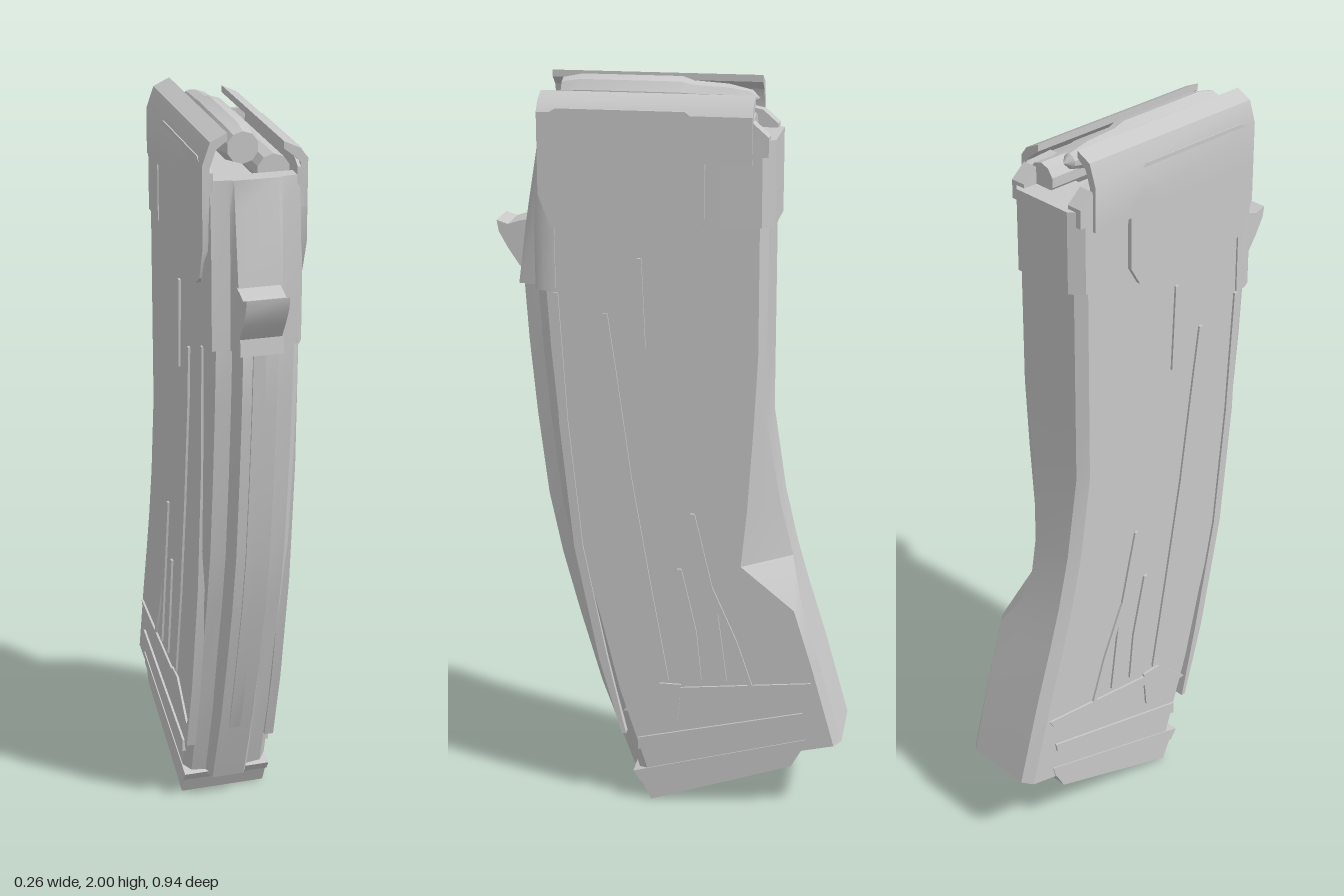
import * as THREE from 'three';
import { toCreasedNormals } from 'three/addons/utils/BufferGeometryUtils.js';

export function createModel() {
  const group = new THREE.Group();
  const steel = new THREE.MeshStandardMaterial({ color: 0xc8c8c8 });
  steel.name = 'grey steel';

  function add(name, geo, parent = group) {
    const mesh = new THREE.Mesh(toCreasedNormals(geo, 0.5), steel);
    mesh.name = name;
    parent.add(mesh);
    return mesh;
  }

  // Skin a stack of equal-sized loops, ordered bottom to top, each anticlockwise from above
  function loft(loops) {
    const n = loops[0].length, last = (loops.length - 1) * n, index = [];
    for (let j = 0; j < loops.length - 1; j++) {
      for (let i = 0; i < n; i++) {
        const a = j * n + i, b = j * n + (i + 1) % n;
        index.push(a, b, b + n, a, b + n, a + n);
      }
    }
    // Caps as strips between the two mirrored halves
    for (let i = 0; i < n / 2 - 1; i++) {
      const a = i, b = i + 1, c = n - 2 - i, d = n - 1 - i;
      index.push(a, c, b, a, d, c);
      index.push(last + a, last + b, last + c, last + a, last + c, last + d);
    }
    const geo = new THREE.BufferGeometry();
    geo.setAttribute('position', new THREE.Float32BufferAttribute(loops.flat(2), 3));
    geo.setIndex(index);
    return geo;
  }

  // Prism with a side outline of [z, y] points between two x positions
  function sidePrism(points, x0, x1) {
    const shape = new THREE.Shape(points.map(p => new THREE.Vector2(...p)));
    return new THREE.ExtrudeGeometry(shape, { depth: x1 - x0, bevelEnabled: false })
      .rotateY(-Math.PI / 2).translate(x1, 0, 0);
  }

  // Loop with a raised band down the front; the left rear corner may be cut deeper
  function section([zf, yf, zb, yb, step, cut, cutX]) {
    const len = Math.hypot(zf - zb, yf - yb);
    const at = (x, d) => [x, yf + (yb - yf) * d / len, zf + (zb - zf) * d / len];
    const half = (s, c, wb) => [[0.045, 0], [0.06, step], [0.1, step + 0.005], [0.119, step + 0.03],
      [0.119, len - c], [wb, len]].map(([x, d]) => at(s * x, d));
    return [...half(1, cut, cutX), ...half(-1, 0.025, 0.095).reverse()];
  }

  // Curved body: front z, front y, back z, back y, band step, left rear cut depth, cut edge x
  add('body', loft([
    [0.115, 0.07, -0.47, 0.21, 0.025, 0.02, 0.095],
    [0.205, 0.32, -0.405, 0.44, 0.035, 0.02, 0.10],
    [0.265, 0.53, -0.355, 0.60, 0.045, 0.02, 0.10],
    [0.31, 0.70, -0.32, 0.72, 0.045, 0.13, 0.02],
    [0.345, 0.87, -0.285, 0.87, 0.045, 0.08, 0.03],
    [0.372, 1.10, -0.25, 1.10, 0.045, 0.03, 0.07],
    [0.39, 1.30, -0.25, 1.30, 0.045, 0.02, 0.09],
    [0.40, 1.46, -0.25, 1.46, 0.045, 0.02, 0.09],
    [0.36, 1.64, -0.25, 1.64, 0.02, 0.02, 0.09],
    [0.335, 1.83, -0.25, 1.83, 0.01, 0.02, 0.09],
  ].map(section)));

  // Raised strip following a [z, y] path
  function strip(path, x0, x1, hw) {
    return loft(path.map(([z, y], i) => {
      const h = i === 0 || i === path.length - 1 ? hw * 0.5 : hw;
      return [[x1, y, z + h], [x1, y, z - h], [x0, y, z - h], [x0, y, z + h]];
    }));
  }

  // Long and short stiffening ribs on both sides
  const ribs = [
    [[0.13, 0.20], [0.185, 0.42], [0.25, 0.75], [0.285, 1.1], [0.30, 1.45]],
    [[0.01, 0.37], [0.065, 0.65], [0.115, 0.95], [0.155, 1.25], [0.17, 1.40]],
    [[-0.15, 0.38], [-0.115, 0.60], [-0.06, 0.86]],
    [[-0.08, 0.38], [-0.06, 0.52], [-0.025, 0.70]],
    [[-0.22, 0.37], [-0.17, 0.50], [-0.11, 0.65]],
    [[0.07, 1.31], [0.08, 1.55]],
  ];
  const bands = [
    [[-0.02, 0.32], [-0.37, 0.365], [-0.385, 0.39], [-0.02, 0.35]],
    [[0.09, 0.155], [-0.36, 0.275], [-0.365, 0.30], [0.09, 0.19]],
    [[0.13, 0.27], [-0.02, 0.25], [-0.03, 0.36], [0.03, 0.36]],
  ];
  // Reinforcing plate at the top of each side
  const plate = [[0.34, 1.71], [0.31, 1.63], [0.28, 1.61], [-0.06, 1.61],
    [-0.09, 1.66], [-0.09, 1.89], [-0.04, 1.93], [0.29, 1.93], [0.34, 1.90]];
  for (const s of [-1, 1]) {
    const side = new THREE.Group();
    side.name = s > 0 ? 'leftSide' : 'rightSide';
    group.add(side);
    const range = (a, b) => (s > 0 ? [a, b] : [-b, -a]);
    ribs.forEach(p => add('rib', strip(p, ...range(0.10, 0.125), 0.012), side));
    bands.forEach(p => add('lowerBand', sidePrism(p, ...range(0.10, 0.125)), side));
    add('sidePlate', sidePrism(plate, ...range(0.105, 0.131)), side);

    // Curled feed lip, higher on the right
    const top = s > 0 ? 1.965 : 1.995;
    const outline = [[0.131, 1.80], [0.131, 1.92], [0.112, top - 0.02], [0.07, top],
      [0.07, top - 0.018], [0.098, top - 0.04], [0.113, 1.91], [0.113, 1.80]];
    const lip = new THREE.Shape(outline.map(([x, y]) => new THREE.Vector2(x * s, y)));
    add('feedLip', new THREE.ExtrudeGeometry(lip, { depth: 0.55, bevelEnabled: false })
      .translate(0, 0, -0.21), side);

    // Rear corner post rising above the collar
    add('rearCorner', sidePrism([[-0.14, 1.82], [-0.25, 1.82], [-0.25, 1.87], [-0.21, 1.905],
      [-0.14, 1.92]], ...range(0.078, 0.122)), side);
  }

  // Thin ridge down the front band
  add('frontRidge', loft([[0.085, 0.07], [0.205, 0.32], [0.265, 0.53], [0.31, 0.70], [0.345, 0.87],
    [0.372, 1.10], [0.39, 1.30], [0.40, 1.46]].map(([z, y]) =>
    [[0.012, y, z + 0.006], [0.012, y, z - 0.03], [-0.02, y, z - 0.03], [-0.02, y, z + 0.006]])));

  // Front collar: y, centre z, cheek z
  add('frontCollar', loft([[1.455, 0.412, 0.36], [1.62, 0.39, 0.36], [1.80, 0.36, 0.35], [1.88, 0.348, 0.342]]
    .map(([y, zc, zs]) => {
      const half = [[0.055, zc], [0.066, zs], [0.112, zs - 0.005], [0.124, zs - 0.03], [0.124, 0.30]];
      return [...half.map(([x, z]) => [x, y, z]), ...half.slice().reverse().map(([x, z]) => [-x, y, z])];
    })));
  add('lockingLug', sidePrism([[0.36, 1.63], [0.36, 1.50], [0.41, 1.50], [0.44, 1.545],
    [0.465, 1.59], [0.47, 1.62], [0.44, 1.61], [0.41, 1.62]], -0.058, 0.05));

  // Rear collar
  const collar = y => [[0.124, y, -0.13], [0.122, y, -0.235], [0.09, y, -0.265],
    [-0.09, y, -0.265], [-0.122, y, -0.235], [-0.124, y, -0.13]];
  add('rearCollar', loft([1.64, 1.86].map(y => collar(y).reverse().map(([x, ...r]) => [-x, ...r]).reverse().map(([x, ...r]) => [-x, ...r]))));

  // Top round with a tapered nose, lying between the lips
  const round = new THREE.LatheGeometry([[0, -0.25], [0.04, -0.25], [0.05, -0.20], [0.05, 0.06],
    [0.04, 0.09], [0.034, 0.18], [0.02, 0.24], [0, 0.26]].map(p => new THREE.Vector2(...p)), 10);
  add('topRound', round.rotateX(-Math.PI / 2).translate(-0.02, 1.945, 0.05));
  // Lower round beside it
  const lower = new THREE.CylinderGeometry(0.042, 0.042, 0.50, 10);
  add('lowerRound', lower.rotateX(Math.PI / 2).translate(0.06, 1.88, 0.04));

  // Floor plate, stepped in two layers
  add('floorPlateUpper', sidePrism([[0.105, 0.085], [0.085, 0.055], [-0.365, 0.185], [-0.375, 0.22]], -0.122, 0.122));
  add('floorPlate', sidePrism([[0.09, 0.07], [0.055, 0], [-0.335, 0.135], [-0.365, 0.19]], -0.119, 0.119));

  return group;
}
